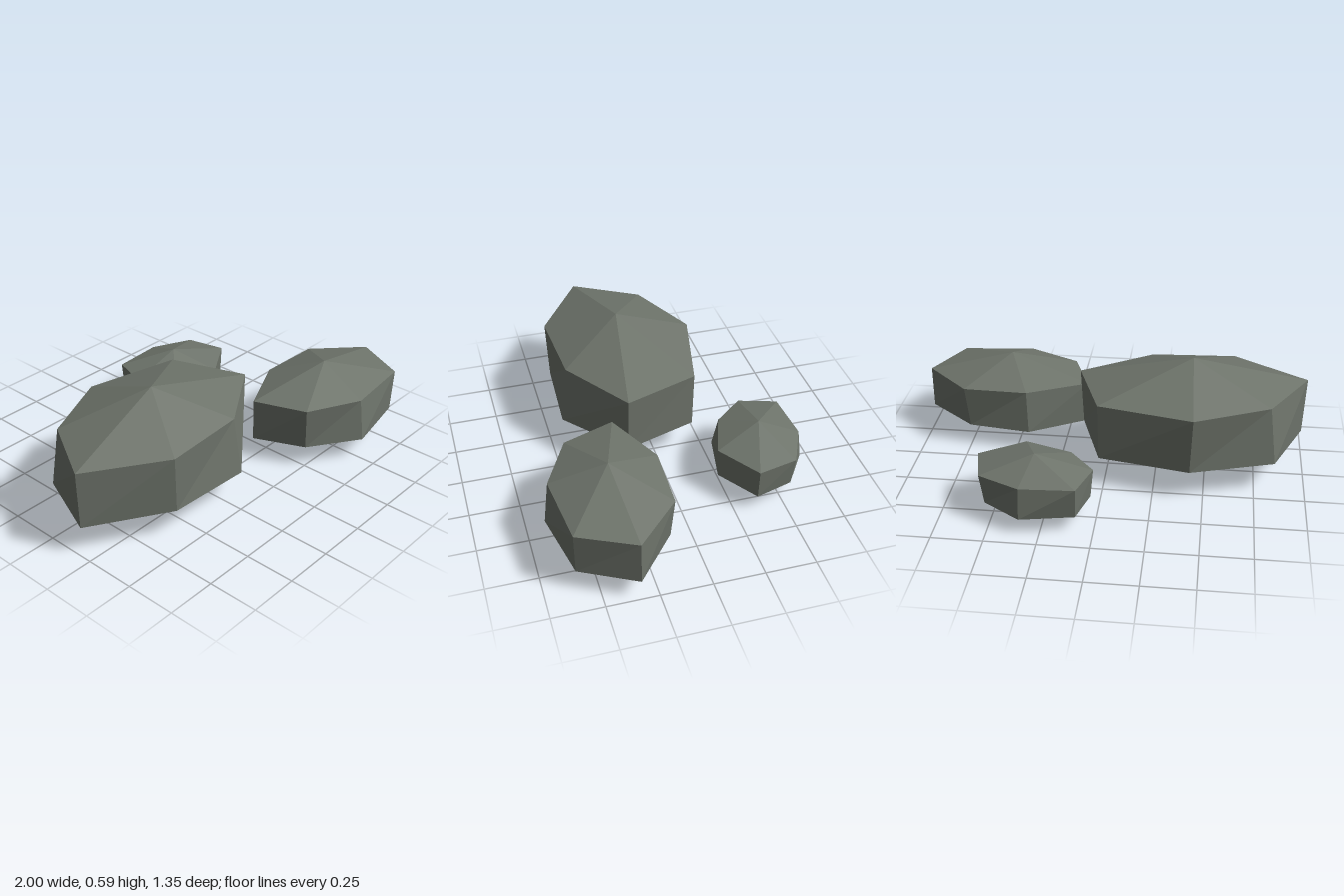
import * as THREE from 'three';

const stone = new THREE.MeshStandardMaterial({ color: 0x6e746b, flatShading: true });
stone.name = 'greyGreenStone';

// A faceted boulder: two seven-sided rings closed by a peak and a base point.
// Rings are [x, z] corners running left, front, right, back.
function boulder(name, { centre: [cx, cz], height, upperY, lowerY, upper, lower }) {
  const n = upper.length;
  const positions = [
    cx, height, cz,
    ...upper.flatMap(([x, z]) => [x, upperY, z]),
    ...lower.flatMap(([x, z]) => [x, lowerY, z]),
    cx, 0, cz,
  ];
  const index = [];
  for (let i = 0; i < n; i++) {
    const j = (i + 1) % n;
    const u0 = 1 + i, u1 = 1 + j, l0 = 1 + n + i, l1 = 1 + n + j;
    index.push(0, u0, u1);             // crown
    index.push(l0, l1, u1, l0, u1, u0); // side
    index.push(2 * n + 1, l1, l0);     // underside
  }
  const indexed = new THREE.BufferGeometry();
  indexed.setAttribute('position', new THREE.Float32BufferAttribute(positions, 3));
  indexed.setIndex(index);
  const geometry = indexed.toNonIndexed();
  geometry.computeVertexNormals();
  const mesh = new THREE.Mesh(geometry, stone);
  mesh.name = name;
  return mesh;
}

export function createModel() {
  const group = new THREE.Group();
  group.name = 'rocks';

  group.add(boulder('largeRock', {
    centre: [-0.42, 0.085], height: 0.59, upperY: 0.445, lowerY: 0.15,
    upper: [[-1, 0.19], [-0.63, 0.43], [-0.2, 0.405], [0.16, 0.17], [0.03, -0.205], [-0.44, -0.31], [-0.81, -0.14]],
    lower: [[-0.99, 0.19], [-0.61, 0.42], [-0.18, 0.44], [0.145, 0.17], [0.025, -0.2], [-0.43, -0.29], [-0.845, -0.16]],
  }));

  group.add(boulder('mediumRock', {
    centre: [0.555, 0.37], height: 0.435, upperY: 0.33, lowerY: 0.11,
    upper: [[0.135, 0.25], [0.23, 0.51], [0.5, 0.645], [0.87, 0.605], [1, 0.335], [0.77, 0.115], [0.44, 0.105]],
    lower: [[0.14, 0.25], [0.25, 0.5], [0.505, 0.67], [0.86, 0.6], [1, 0.335], [0.75, 0.13], [0.43, 0.085]],
  }));

  group.add(boulder('smallRock', {
    centre: [0.3, -0.455], height: 0.31, upperY: 0.235, lowerY: 0.08,
    upper: [[0.02, -0.45], [0.145, -0.3], [0.38, -0.22], [0.595, -0.36], [0.55, -0.56], [0.345, -0.655], [0.08, -0.64]],
    lower: [[0.035, -0.44], [0.125, -0.275], [0.38, -0.225], [0.585, -0.36], [0.53, -0.55], [0.345, -0.675], [0.085, -0.625]],
  }));

  return group;
}
